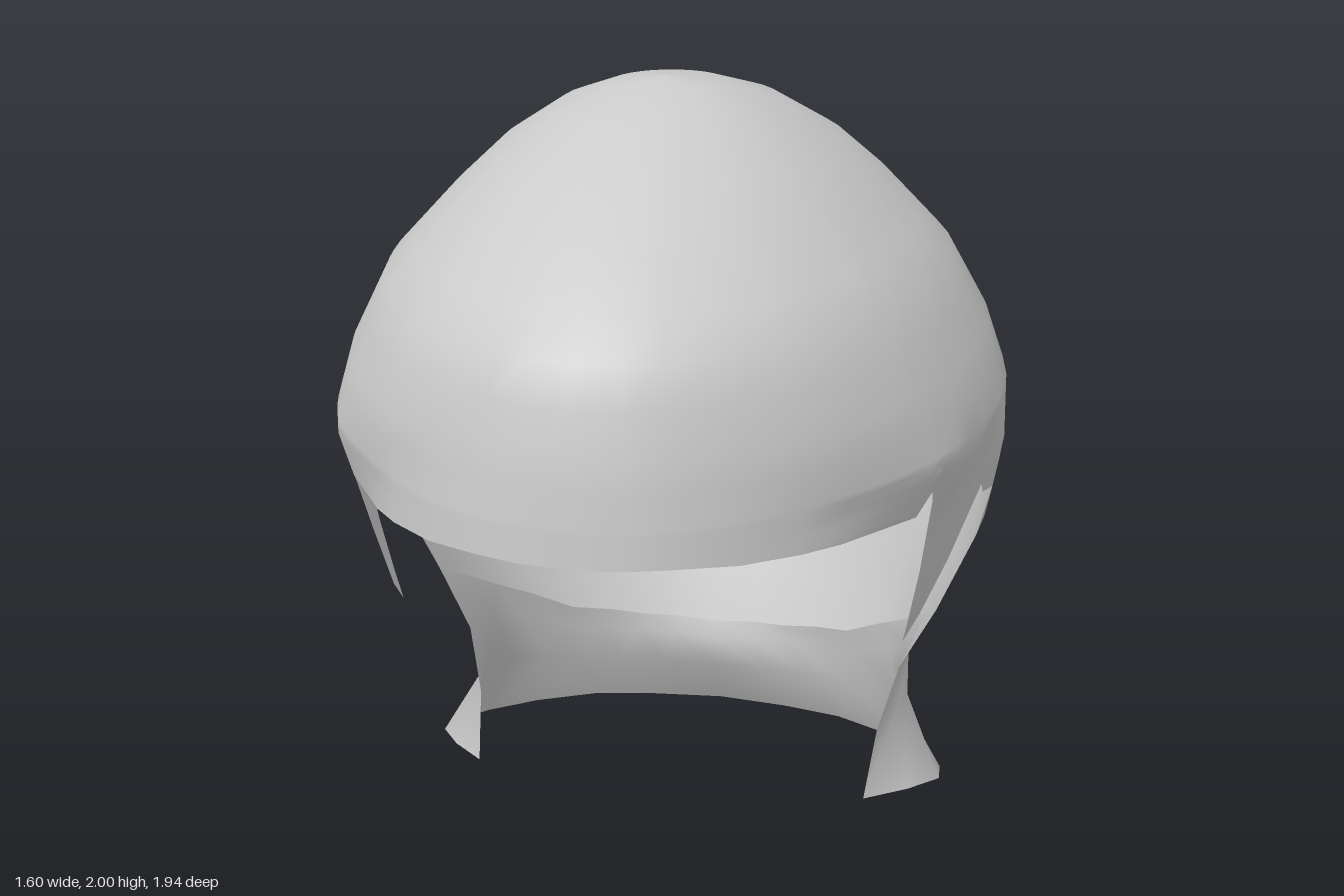
import * as THREE from 'three';

// Skull cross-sections by height: y, half width, front z, back z, z of widest point
const SECTIONS = [
  [2.0, 0.0, 0.0, 0.0, 0.0], [1.985, 0.13, 0.13, -0.17, -0.02], [1.94, 0.25, 0.33, -0.36, -0.05],
  [1.85, 0.39, 0.54, -0.55, -0.1], [1.75, 0.5, 0.72, -0.71, -0.12], [1.6, 0.645, 0.9, -0.84, -0.15],
  [1.42, 0.745, 0.95, -0.94, -0.18], [1.28, 0.795, 0.965, -0.965, -0.2], [1.12, 0.8, 0.975, -0.97, -0.2],
  [0.94, 0.77, 0.975, -0.957, -0.2], [0.8, 0.725, 0.975, -0.94, -0.2], [0.64, 0.66, 0.975, -0.88, -0.2],
  [0.5, 0.62, 0.975, -0.81, -0.2], [0.37, 0.56, 0.975, -0.755, -0.2], [0.3, 0.5, 0.975, -0.73, -0.2],
];

// Lower rim by angle from the front: brow, side spike, ear notch, nape
const RIM = [
  [0, 1.2], [15, 1.2], [35, 1.18], [56.8, 1.15], [58.3, 1.2], [59.7, 1.17], [63.5, 0.97], [66, 0.81],
  [68, 0.755], [70, 0.81], [73, 0.93], [78.7, 1.08], [80, 1.05], [84, 1.035], [87, 0.88], [90, 0.64],
  [112, 0.5], [135, 0.37], [157, 0.32], [180, 0.3],
];

// Neck rings from the front edge (+x) round to the middle of the back
const NECK = [
  [[0.575, 0.48, -0.18], [0.58, 0.42, -0.42], [0.43, 0.31, -0.59], [0.22, 0.27, -0.69], [0, 0.25, -0.715]],
  [[0.53, 0.33, -0.11], [0.585, 0.29, -0.4], [0.48, 0.2, -0.58], [0.27, 0.18, -0.68], [0, 0.17, -0.715]],
  [[0.51, 0.18, -0.01], [0.69, 0.115, -0.27], [0.63, 0.06, -0.5], [0.36, 0.025, -0.73], [0, 0, -0.83]],
].map((ring) => new THREE.CatmullRomCurve3(ring.map((p) => new THREE.Vector3(...p))));

const { lerp, clamp } = THREE.MathUtils;

// Linear lookup in a table sorted by its first column (either direction)
function lookup(table, key, column) {
  const rising = table[1][0] > table[0][0];
  for (let i = 1; i < table.length; i++) {
    const a = table[i - 1], b = table[i];
    if (rising ? key <= b[0] : key >= b[0]) {
      return lerp(a[column], b[column], clamp((key - a[0]) / (b[0] - a[0]), 0, 1));
    }
  }
  return table[table.length - 1][column];
}

// Inward step below the brow ridge, fading out behind the side spike
function browDent(angle, y) {
  const ridge = angle < 58 ? 1.6 - 0.36 * Math.pow(angle / 58, 1.5) : 1.24;
  const side = angle < 58 ? Math.sin((angle / 58) * Math.PI / 2) : clamp((84 - angle) / 16, 0, 1);
  return 0.075 * side * clamp((ridge - y) / 0.15, 0, 1);
}

// Point on the skull at an angle (degrees from the front, positive towards +x)
function skullPoint(degrees, y) {
  const angle = degrees > 180 ? 360 - degrees : degrees;
  const [w, front, back, mid] = [1, 2, 3, 4].map((c) => lookup(SECTIONS, y, c));
  const t = angle * Math.PI / 180;
  const x = w * Math.sin(t) * (1 - browDent(angle, y)) * (degrees > 180 ? -1 : 1);
  const z = mid + (Math.cos(t) > 0 ? front - mid : mid - back) * Math.cos(t);
  return new THREE.Vector3(x, y, z);
}

// Smooth surface through rows of points
function loft(rows, closed) {
  const n = rows[0].length, index = [];
  for (let r = 0; r < rows.length - 1; r++) {
    for (let c = 0; c < (closed ? n : n - 1); c++) {
      const a = r * n + c, d = r * n + (c + 1) % n;
      if (r > 0 || !closed) index.push(a, a + n, d);
      index.push(d, a + n, d + n);
    }
  }
  const geometry = new THREE.BufferGeometry().setFromPoints(rows.flat());
  geometry.setIndex(index);
  geometry.computeVertexNormals();
  return geometry;
}

export function createModel() {
  const group = new THREE.Group();
  group.name = 'hoodShell';
  const material = new THREE.MeshStandardMaterial({ color: 0xcccccc, side: THREE.DoubleSide });
  const add = (name, geometry) => {
    const mesh = new THREE.Mesh(geometry, material);
    mesh.name = name;
    group.add(mesh);
  };

  // Angles: every rim corner plus a few in between, mirrored to the other side
  const half = [...RIM.map((p) => p[0]), 8, 25, 42, 50, 101, 123, 146, 168].sort((a, b) => a - b);
  const angles = [...half, ...half.slice(1, -1).reverse().map((a) => 360 - a)];
  const rimAt = (a) => lookup(RIM, a > 180 ? 360 - a : a, 1);

  // Skull: level rows down to the temples, then rows stretched to the rim
  const levels = [2, 1.985, 1.94, 1.85, 1.75, 1.67, 1.6, 1.51, 1.42, 1.35, 1.28];
  const skullRows = levels.map((y) => angles.map((a) => skullPoint(a, y)));
  for (let i = 1; i <= 8; i++) {
    skullRows.push(angles.map((a) => skullPoint(a, lerp(1.28, rimAt(a), i / 8))));
  }
  add('skullShell', loft(skullRows, true));

  // Neck: starts on the nape rim and flares outward
  const neckAngles = angles.filter((a) => a >= 90 && a <= 270);
  const neckRows = [neckAngles.map((a) => skullPoint(a, rimAt(a)))];
  for (const ring of NECK) {
    neckRows.push(neckAngles.map((a) => {
      const p = ring.getPoint(1 - Math.abs(180 - a) / 90);
      if (a > 180) p.x *= -1;
      return p;
    }));
  }
  add('neckFlare', loft(neckRows, false));

  return group;
}
